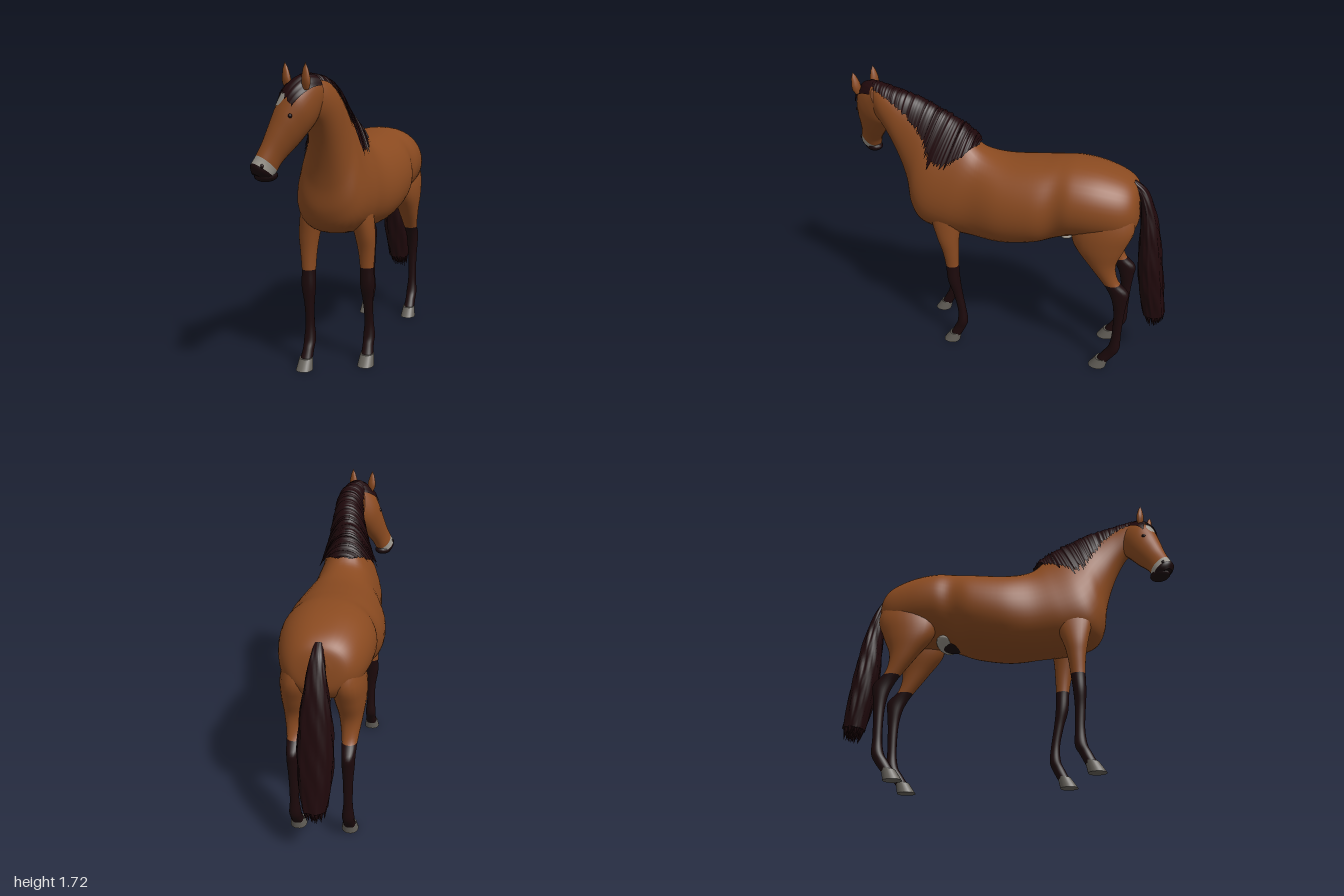
import * as THREE from 'three';

const mat = (name, color, side = THREE.FrontSide) => {
  const m = new THREE.MeshStandardMaterial({ color, side });
  m.name = name;
  return m;
};
const rnd = (i) => { const s = Math.sin(i * 127.1 + 11.7) * 43758.5453; return s - Math.floor(s); };

// A section is [topZ, topY, bottomZ, bottomY, halfWidth, centreX, lowerBias]; sections blend smoothly
function sectionAt(S, s) {
  const n = S.length - 1, i = Math.min(Math.floor(s), n - 1), t = s - i;
  const [a, b, c, d] = [S[Math.max(i - 1, 0)], S[i], S[i + 1], S[Math.min(i + 2, n)]];
  return b.map((p1, k) => {
    const p0 = a[k], p2 = c[k], p3 = d[k];
    return 0.5 * (2 * p1 + (p2 - p0) * t + (2 * p0 - 5 * p1 + 4 * p2 - p3) * t * t + (3 * p1 - p0 - 3 * p2 + p3) * t ** 3);
  });
}
function ringPoint(S, s, a, grow = 1) {
  const [tz, ty, bz, by, w, x = 0, bias = 0] = sectionAt(S, s);
  const c = Math.cos(a), v = Math.sin(a) * grow / 2;
  const side = Math.sign(c) * Math.abs(c) ** 0.88 * w * grow * (1 - bias * Math.sin(a));
  return [x + side, (ty + by) / 2 + v * (ty - by), (tz + bz) / 2 + v * (tz - bz)];
}

// Closed skin through sections; splits are the section numbers where the material changes
function loft(S, { radial = 24, steps = 5, splits = [], place = (p) => p, bump = () => 1 } = {}) {
  const rows = (S.length - 1) * steps, pos = [], idx = [], geo = new THREE.BufferGeometry();
  for (let i = 0; i <= rows; i++)
    for (let j = 0; j < radial; j++) {
      const a = (j / radial) * Math.PI * 2;
      pos.push(...place(ringPoint(S, i / steps, a, bump(j, i / steps))));
    }
  const cap = (row, flip) => {
    const base = pos.length / 3, mid = [0, 0, 0];
    for (let j = 0; j < radial; j++)
      for (let k = 0; k < 3; k++) {
        const p = pos[(row * radial + j) * 3 + k];
        pos.push(p);
        mid[k] += p / radial;
      }
    pos.push(...mid);
    for (let j = 0; j < radial; j++) {
      const a = base + j, b = base + (j + 1) % radial;
      idx.push(base + radial, flip ? b : a, flip ? a : b);
    }
  };
  cap(0, true);
  let start = 0, m = 0;
  const cuts = splits.map((s) => Math.round(s * steps));
  for (let i = 0; i < rows; i++) {
    if (cuts.includes(i)) { geo.addGroup(start, idx.length - start, m++); start = idx.length; }
    for (let j = 0; j < radial; j++) {
      const a = i * radial + j, b = i * radial + (j + 1) % radial;
      idx.push(a, b, b + radial, a, b + radial, a + radial);
    }
  }
  cap(rows, false);
  geo.addGroup(start, idx.length - start, m);
  geo.setAttribute('position', new THREE.Float32BufferAttribute(pos, 3));
  geo.setIndex(idx);
  geo.computeVertexNormals();
  return geo;
}

// Open sheet lying over a skin; rule(u column, v row) gives [section, angle, grow]
function sheet(S, nu, nv, rule, place = (p) => p) {
  const geo = new THREE.PlaneGeometry(1, 1, nu, nv), p = geo.attributes.position;
  for (let j = 0; j <= nv; j++)
    for (let i = 0; i <= nu; i++) p.setXYZ(j * (nu + 1) + i, ...place(ringPoint(S, ...rule(i, j))));
  geo.computeVertexNormals();
  return geo;
}

// Rump to throat
const BODY = [
  [-0.775, 1.15, -0.785, 1.05, 0.06, 0, 0], [-0.75, 1.215, -0.775, 0.96, 0.15, 0, 0],
  [-0.68, 1.265, -0.7, 0.89, 0.212, 0, 0], [-0.55, 1.305, -0.56, 0.88, 0.25, 0, 0],
  [-0.42, 1.32, -0.42, 0.87, 0.262, 0, 0], [-0.32, 1.315, -0.32, 0.835, 0.25, 0, 0],
  [-0.2, 1.3, -0.2, 0.795, 0.278, 0, 0.05], [0, 1.285, 0, 0.76, 0.27, 0, 0.08],
  [0.14, 1.315, 0.2, 0.765, 0.225, 0, 0.15], [0.22, 1.385, 0.38, 0.78, 0.207, 0, 0.3],
  [0.3, 1.44, 0.52, 0.82, 0.19, 0, 0.37], [0.38, 1.49, 0.58, 0.92, 0.16, 0.01, 0.34],
  [0.46, 1.54, 0.6, 1.06, 0.127, 0.02, 0.2], [0.55, 1.585, 0.63, 1.18, 0.105, 0.03, 0.1],
  [0.65, 1.62, 0.68, 1.31, 0.092, 0.035, 0], [0.74, 1.645, 0.74, 1.41, 0.08, 0.025, 0],
  [0.82, 1.65, 0.8, 1.45, 0.06, 0, 0],
];
// Poll to lips, in the head's own frame (z is forward)
const HEAD = [
  [-0.04, 1.645, -0.09, 1.5, 0.055], [0.04, 1.645, -0.07, 1.42, 0.08], [0.11, 1.59, -0.03, 1.365, 0.096],
  [0.145, 1.51, 0.015, 1.305, 0.088], [0.17, 1.42, 0.055, 1.26, 0.073], [0.195, 1.33, 0.085, 1.22, 0.06],
  [0.222, 1.26, 0.105, 1.175, 0.057], [0.238, 1.22, 0.125, 1.147, 0.056], [0.225, 1.18, 0.155, 1.14, 0.034],
];
// The head turns and leans towards -x
const turn = ([x, y, z]) => [0.01 + 0.8 * x - 0.6 * z - 0.2 * (1.6 - y), y, 0.8 + 0.6 * x + 0.8 * z];

// Legs as [y, frontZ, backZ, halfWidth, x]
const HIND = [
  [1.18, -0.48, -0.72, 0.06, 0.11], [1, -0.42, -0.775, 0.095, 0.13], [0.87, -0.435, -0.735, 0.09, 0.142],
  [0.75, -0.525, -0.69, 0.065, 0.15], [0.64, -0.61, -0.71, 0.045, 0.15], [0.57, -0.655, -0.775, 0.038, 0.15],
  [0.5, -0.685, -0.772, 0.035, 0.15], [0.4, -0.7, -0.762, 0.028, 0.15], [0.25, -0.7, -0.755, 0.026, 0.15],
  [0.16, -0.685, -0.755, 0.034, 0.15], [0.11, -0.655, -0.735, 0.033, 0.15], [0.05, -0.615, -0.69, 0.036, 0.15],
];
const FORE_LEFT = [
  [1.08, 0.46, 0.25, 0.05, 0.11], [0.93, 0.45, 0.24, 0.064, 0.128], [0.78, 0.4, 0.26, 0.058, 0.15],
  [0.68, 0.365, 0.265, 0.048, 0.155], [0.58, 0.347, 0.267, 0.04, 0.155], [0.47, 0.337, 0.262, 0.041, 0.155],
  [0.37, 0.308, 0.25, 0.029, 0.152], [0.25, 0.282, 0.23, 0.026, 0.152], [0.16, 0.285, 0.22, 0.034, 0.152],
  [0.11, 0.305, 0.235, 0.032, 0.152], [0.05, 0.335, 0.265, 0.036, 0.155],
];
const FORE_RIGHT = [
  [1.08, 0.5, 0.27, 0.05, 0.11], [0.93, 0.51, 0.28, 0.064, 0.128], [0.78, 0.482, 0.335, 0.058, 0.15],
  [0.68, 0.465, 0.36, 0.048, 0.155], [0.57, 0.458, 0.374, 0.04, 0.155], [0.47, 0.458, 0.385, 0.041, 0.155],
  [0.37, 0.45, 0.39, 0.029, 0.152], [0.25, 0.442, 0.386, 0.026, 0.152], [0.16, 0.452, 0.382, 0.034, 0.152],
  [0.11, 0.475, 0.405, 0.032, 0.152], [0.05, 0.505, 0.435, 0.036, 0.155],
];
// Tail, front edge then back edge
const TAIL = [
  [-0.73, 1.19, -0.74, 1.235, 0.022], [-0.775, 1.13, -0.815, 1.175, 0.038], [-0.79, 1.02, -0.875, 1.04, 0.058],
  [-0.795, 0.87, -0.915, 0.88, 0.08], [-0.8, 0.7, -0.945, 0.7, 0.093], [-0.825, 0.52, -0.97, 0.53, 0.088],
  [-0.86, 0.35, -0.99, 0.36, 0.065],
];

export function createModel() {
  const horse = new THREE.Group();
  const coat = mat('bay coat', 0x8a4a20);
  const hair = mat('dark hair', 0x1f080b, THREE.DoubleSide);
  const stocking = mat('dark stocking', 0x1c090b);
  const hoofGrey = mat('hoof grey', 0x66625b);
  const pale = mat('pale skin', 0x9a958c, THREE.DoubleSide);
  const dark = mat('dark skin', 0x190709);
  const add = (name, geo, material, pos = [0, 0, 0]) => {
    const m = new THREE.Mesh(geo, material);
    m.name = name;
    m.position.set(...pos);
    horse.add(m);
    return m;
  };
  const blob = (name, material, pos, size) => {
    const m = add(name, new THREE.SphereGeometry(1, 16, 12), material, pos);
    m.scale.set(...size);
    return m;
  };

  add('bodyAndNeck', loft(BODY, { radial: 40, steps: 6 }), coat);
  add('head', loft(HEAD, { radial: 32, steps: 6, splits: [5.83, 6.67], place: turn }), [coat, pale, dark]);
  blob('lowerLip', dark, turn([0, 1.166, 0.15]), [0.05, 0.032, 0.062]).rotation.y = -0.64;

  // Legs and hooves
  const leg = (name, rows, side, dye) => {
    const S = rows.map(([y, f, b, w, x]) => [f, y, b, y, w, x * side]);
    add(name, loft(S, { splits: [dye] }), [coat, stocking]);
    const [, f, b, , x] = rows[rows.length - 1];
    const hoof = [[f + 0.004, 0.06, b - 0.002, 0.068, 0.039, x * side], [f + 0.045, 0, b + 0.012, 0, 0.048, x * side]];
    add(name + 'Hoof', loft(hoof, { steps: 3 }), hoofGrey);
  };
  leg('leftHindLeg', HIND, 1, 4.2);
  leg('rightHindLeg', HIND, -1, 4.2);
  leg('leftForeleg', FORE_LEFT, 1, 4);
  leg('rightForeleg', FORE_RIGHT, -1, 4);

  // Mane: strands draped over the crest, with the upper neck covered further on the right
  const reach = [[8.2, 8], [9, 50], [9.7, 68], [10.5, 77], [12, 62], [13, 55], [14, 48], [16, 42]];
  const drop = (s) => {
    const k = Math.max(1, reach.findIndex((r) => r[0] >= s));
    const [a, b] = [reach[k - 1], reach[k]];
    return a[1] + (b[1] - a[1]) * (s - a[0]) / (b[0] - a[0]);
  };
  add('mane', sheet(BODY, 160, 20, (i, j) => {
    const s = 8.2 + (i / 160) * 7.8, v = j / 10 - 1;
    const right = THREE.MathUtils.clamp(0.85 + (s - 9.5) * 0.17, 0.85, 1.3);
    const long = drop(s) * (v < 0 ? right : 1) * (0.9 + 0.16 * rnd(i + (v < 0 ? 300 : 0)));
    return [s, THREE.MathUtils.degToRad(90 - v * long), 1.06 + 0.05 * rnd(i) + 0.03 * (1 - v * v)];
  }), hair);

  // Forelock falling to the left of a star
  add('forelock', sheet(HEAD, 24, 12, (i, j) => {
    const v = i / 12 - 1;
    const end = 2.05 + 0.6 * Math.min(0.8, Math.abs(v + 0.4)) + 0.3 * rnd(i + 50);
    return [0.1 + (j / 12) * (end - 0.1), Math.PI / 2 - v * (1.15 - 0.025 * j), 1.06 + 0.05 * rnd(i)];
  }, turn), hair);
  add('star', sheet(HEAD, 8, 8, (i, j) => {
    const t = j / 8, w = 0.36 * Math.sin(Math.PI * (0.2 + 0.65 * t));
    return [2.2 + 0.85 * t, Math.PI / 2 + 0.16 - (i / 4 - 1) * w, 1.03];
  }, turn), pale);

  // Ears, eyes and nostrils
  const earProfile = [[0.016, 0], [0.028, 0.03], [0.027, 0.06], [0.016, 0.1], [0, 0.13]].map((p) => new THREE.Vector2(...p));
  for (const [name, side, base] of [['left', 1, [0.078, 1.585, 0.052]], ['right', -1, [-0.052, 1.588, 0.082]]]) {
    const ear = add(name + 'Ear', new THREE.LatheGeometry(earProfile, 14), coat, turn(base));
    ear.scale.z = 0.7;
    ear.rotation.set(0.12, -0.6, -side * 0.06);
    const at = (s, deg) => turn(ringPoint(HEAD, s, THREE.MathUtils.degToRad(side > 0 ? deg : 180 - deg), 0.98));
    blob(name + 'Eye', dark, at(3, 32), [0.01, 0.011, 0.012]);
    blob(name + 'Nostril', dark, at(6.5, 35), [0.008, 0.011, 0.008]);
  }

  // Tail with ragged tips
  add('tail', loft(TAIL, { radial: 48, steps: 8, bump: (j, s) => 0.94 + 0.12 * rnd(j + 7) + 0.03 * Math.sin(s * 5 + j) }), hair);
  for (let i = 0; i < 40; i++) {
    const a = i * 2.4, r = Math.sqrt(i / 40), len = 0.04 + 0.05 * rnd(i);
    const lock = add('tailLock', new THREE.ConeGeometry(0.014, len, 5), hair,
      [0.056 * r * Math.cos(a), 0.365 - len / 2, -0.927 + 0.055 * r * Math.sin(a)]);
    lock.rotation.set(Math.PI + 0.15, 0, 0);
  }

  // Skin under the belly and below the dock
  blob('groinSkin', pale, [0, 0.872, -0.38], [0.13, 0.034, 0.06]);
  blob('sheath', dark, [0, 0.85, -0.335], [0.07, 0.026, 0.07]);
  blob('underDock', dark, [0, 1.05, -0.765], [0.035, 0.08, 0.03]);
  blob('innerThighSkin', pale, [0, 0.94, -0.71], [0.065, 0.09, 0.055]);
  blob('innerThighShade', dark, [0, 0.87, -0.66], [0.05, 0.045, 0.06]);
  return horse;
}
